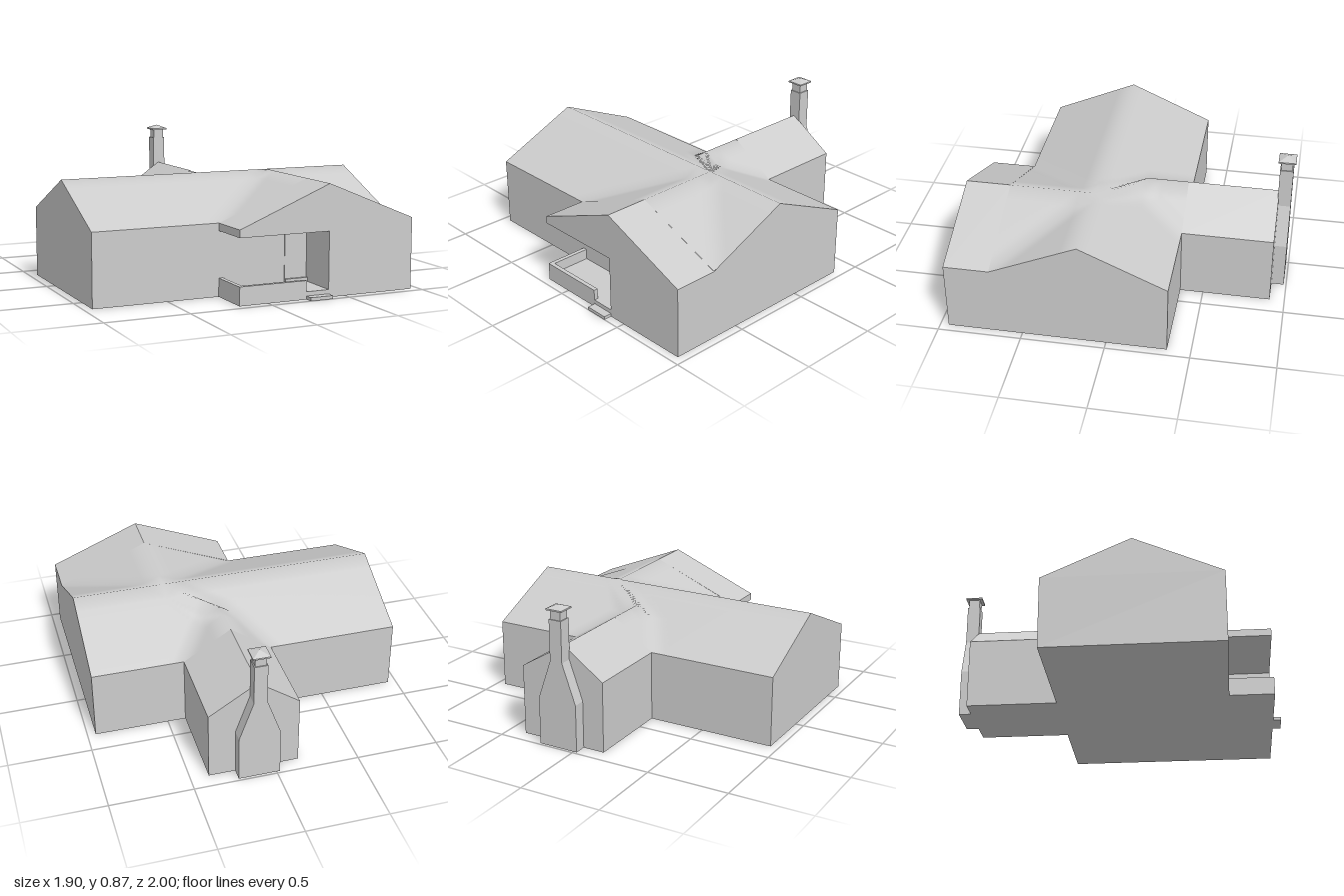
import * as THREE from 'three';

const material = new THREE.MeshStandardMaterial({ color: 0xcccccc, side: THREE.DoubleSide });

const EAVE = 0.43, PEAK = 0.66, RIDGE_Z = 0.16;

// Height of the main roof with the front and back wings blending into it
function roofHeight(x, z) {
  let h = PEAK - (0.23 / 0.52) * Math.abs(z - RIDGE_Z);
  if (z >= RIDGE_Z) {
    h = Math.max(h, PEAK - (0.23 / 0.565) * Math.abs(x - 0.39));
  } else {
    // Sloping ridge that joins the lower back wing to the main ridge
    const t = THREE.MathUtils.clamp((z + 0.1) / 0.26, 0, 1);
    const rx = 0.1 + 0.29 * t, ry = 0.61 + 0.05 * t;
    const slope = x < rx ? 0.18 / 0.255 : 0.18 / 0.29;
    h = Math.max(h, ry - slope * Math.abs(x - rx));
  }
  return h;
}

// Grid over the main block, with softly blended normals
function roofGeometry() {
  const geo = new THREE.PlaneGeometry(1.9, 1.04, 95, 52);
  geo.rotateX(-Math.PI / 2).translate(0, 0, RIDGE_Z);
  const p = geo.attributes.position, n = new THREE.Vector3(), d = 0.1;
  for (let i = 0; i < p.count; i++) {
    const x = p.getX(i), z = p.getZ(i);
    p.setY(i, roofHeight(x, z));
    n.set(roofHeight(x - d, z) - roofHeight(x + d, z), 2 * d,
      roofHeight(x, z - d) - roofHeight(x, z + d)).normalize();
    geo.attributes.normal.setXYZ(i, n.x, n.y, n.z);
  }
  return geo;
}

const shapeOf = (pts) => new THREE.Shape(pts.map(([x, y]) => new THREE.Vector2(x, y)));

// Outline in x and y, drawn out from z0 to z1
function extrude(pts, z0, z1) {
  const geo = new THREE.ExtrudeGeometry(shapeOf(pts), { depth: z1 - z0, bevelEnabled: false });
  return geo.translate(0, 0, z0);
}

function box(x0, x1, y0, y1, z0, z1) {
  return new THREE.BoxGeometry(x1 - x0, y1 - y0, z1 - z0)
    .translate((x0 + x1) / 2, (y0 + y1) / 2, (z0 + z1) / 2);
}

export function createModel() {
  const model = new THREE.Group();
  const add = (name, geo, parent = model) => {
    const mesh = new THREE.Mesh(geo, material);
    mesh.name = name;
    parent.add(mesh);
    return mesh;
  };

  // Main block
  add('mainWalls', box(-0.95, 0.95, 0, EAVE, -0.36, 0.68));
  add('mainRoof', roofGeometry());
  for (const side of [-1, 1]) {
    const gable = new THREE.ShapeGeometry(shapeOf([[-0.52, EAVE], [0.52, EAVE], [0, PEAK]]));
    gable.rotateY(side * Math.PI / 2).translate(side * 0.95, 0, RIDGE_Z);
    add(side > 0 ? 'leftGable' : 'rightGable', gable);
  }

  // Front wing, cut away on one side for the porch
  add('frontWing', extrude([
    [-0.18, 0.385], [0.39, 0.385], [0.39, 0], [0.95, 0],
    [0.95, EAVE], [0.39, PEAK], [-0.18, EAVE],
  ], 0.68, 0.95));

  // Back wing
  add('backWing', extrude([
    [-0.155, 0], [0.39, 0], [0.39, EAVE], [0.1, 0.61], [-0.155, EAVE],
  ], -0.91, -0.36));

  // Porch
  const porch = new THREE.Group();
  porch.name = 'porch';
  model.add(porch);
  add('porchFloor', box(-0.18, 0.39, 0, 0.045, 0.68, 0.95), porch);
  add('porchFrontRail', box(-0.18, 0.245, 0, 0.11, 0.925, 0.951), porch);
  add('porchSideRail', box(-0.181, -0.155, 0, 0.11, 0.68, 0.95), porch);
  add('doorSill', box(0.245, 0.39, 0.045, 0.07, 0.68, 0.7), porch);
  add('door', box(0.245, 0.39, 0.07, 0.385, 0.68, 0.685), porch);
  add('frontStep', box(0.245, 0.39, 0, 0.02, 0.95, 1), porch);

  // Chimney: wide base, tapered shoulders, shaft and cap
  const chimney = new THREE.Group();
  chimney.name = 'chimney';
  model.add(chimney);
  add('chimneyStack', extrude([
    [-0.02, 0], [0.23, 0], [0.23, 0.29], [0.145, 0.53], [0.145, 0.78],
    [0.065, 0.78], [0.065, 0.53], [-0.02, 0.29],
  ], -0.985, -0.905), chimney);
  add('chimneyNeck', box(0.071, 0.139, 0.78, 0.84, -0.979, -0.911), chimney);
  add('chimneyCapSlab', box(0.053, 0.157, 0.836, 0.845, -0.997, -0.893), chimney);
  const cap = new THREE.ConeGeometry(0.052 * Math.SQRT2, 0.021, 4).toNonIndexed();
  cap.rotateY(Math.PI / 4).translate(0.105, 0.8555, -0.945);
  cap.computeVertexNormals();
  add('chimneyCap', cap, chimney);

  return model;
}
